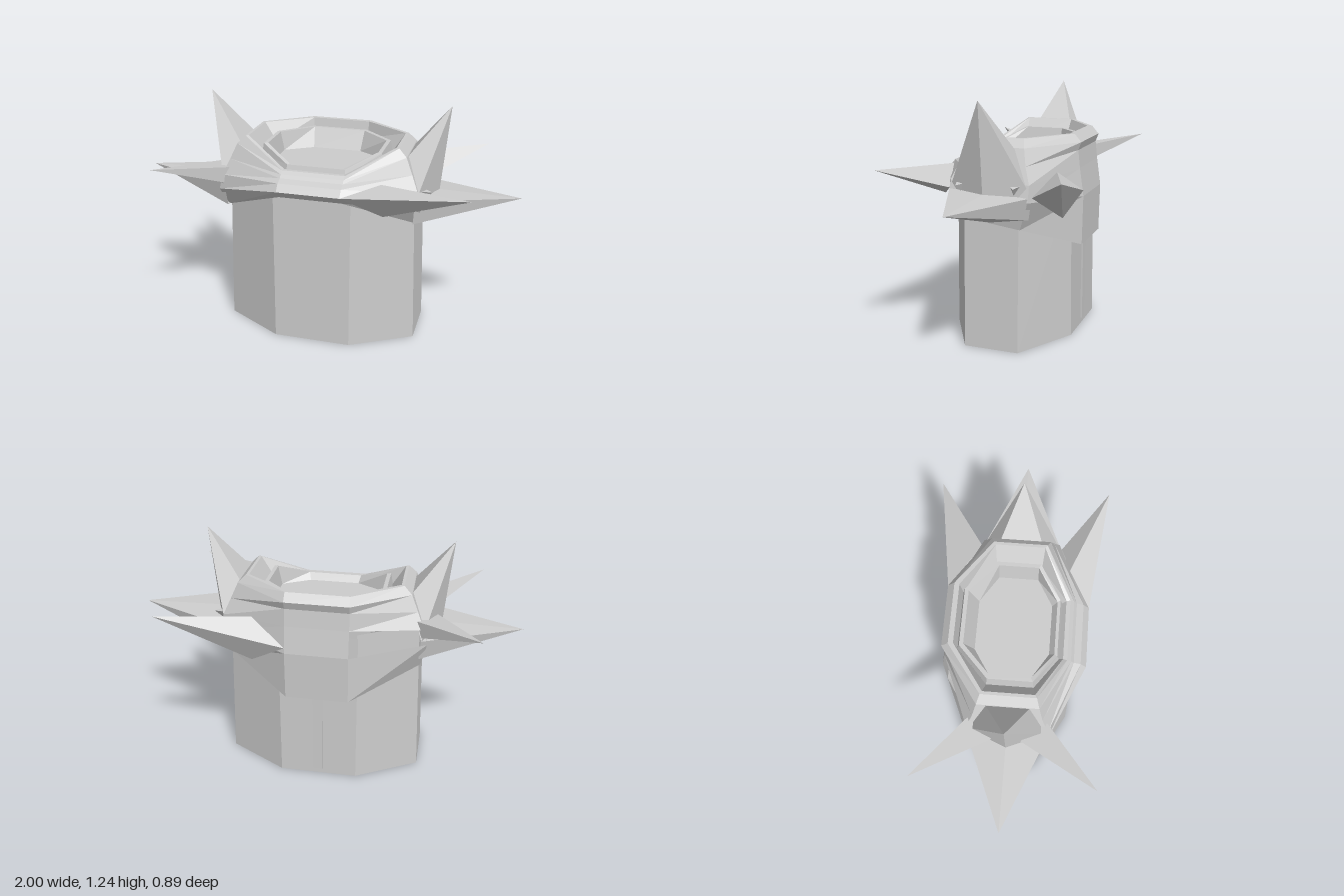
import * as THREE from 'three';

const grey = new THREE.MeshStandardMaterial({ color: 0xcccccc, flatShading: true, side: THREE.DoubleSide });
grey.name = 'plain grey';

function meshFrom(name, triangles) {
  const geometry = new THREE.BufferGeometry();
  geometry.setAttribute('position', new THREE.Float32BufferAttribute(triangles.flat(2), 3));
  geometry.computeVertexNormals();
  const mesh = new THREE.Mesh(geometry, grey);
  mesh.name = name;
  return mesh;
}

// Octagonal ring: half width of front edge, side x, side z, front z, back z,
// then heights at front, front side, back side and back
function ring([hx, sx, sz, zf, zb, yf, ysf, ysb, yb]) {
  const half = [[hx, yf, zf], [sx, ysf, sz], [sx, ysb, -sz], [hx, yb, zb]];
  return [...half, ...half.map(([x, y, z]) => [-x, y, z]).reverse()];
}

// Joins rings listed from bottom to top along the outside
function skin(name, specs, { cap = false, skip = () => false } = {}) {
  const rings = specs.map(ring);
  const triangles = [];
  for (let r = 0; r < rings.length - 1; r++) {
    for (let i = 0; i < 8; i++) {
      if (skip(r, i)) continue;
      const j = (i + 1) % 8;
      const a = rings[r][i], b = rings[r][j], c = rings[r + 1][j], d = rings[r + 1][i];
      triangles.push([a, b, c], [a, c, d]);
    }
  }
  if (cap) {
    const last = rings[rings.length - 1];
    for (let i = 1; i < 7; i++) triangles.push([last[0], last[i], last[i + 1]]);
  }
  return meshFrom(name, triangles);
}

// Pyramid with any base loop, turned so its faces point outward
function spike(name, tip, base) {
  const centre = [0, 1, 2].map(k => base.reduce((s, p) => s + p[k], 0) / base.length);
  const v = p => new THREE.Vector3(...p);
  const triangles = base.map((p, i) => {
    const q = base[(i + 1) % base.length];
    const normal = v(q).sub(v(p)).cross(v(tip).sub(v(p)));
    const outward = v(p).add(v(q)).multiplyScalar(0.5).sub(v(centre));
    return normal.dot(outward) < 0 ? [q, p, tip] : [p, q, tip];
  });
  return meshFrom(name, triangles);
}

export function createModel() {
  const model = new THREE.Group();
  model.name = 'spikedCollarTube';

  // Tapered hollow tube with a thick bottom edge
  model.add(skin('body', [
    [0.19, 0.45, 0.12, 0.275, -0.275, 0.82, 0.82, 0.82, 0.82],
    [0.19, 0.465, 0.12, 0.275, -0.275, 0, 0, 0, 0],
    [0.2, 0.51, 0.14, 0.317, -0.317, 0, 0, 0, 0],
    [0.2, 0.485, 0.14, 0.305, -0.31, 0.82, 0.82, 0.82, 0.82],
  ]));

  // Back seam strip
  const seam = new THREE.Mesh(new THREE.BoxGeometry(0.05, 0.49, 0.009), grey);
  seam.name = 'backSeam';
  seam.position.set(0, 0.275, -0.32);
  model.add(seam);

  // Draped collar: low hem at the back, raised rim dipping at the front
  model.add(skin('collar', [
    [0.18, 0.485, 0.14, 0.305, -0.31, 0.81, 0.66, 0.63, 0.5],
    [0.16, 0.5, 0.15, 0.33, -0.355, 0.8, 0.66, 0.62, 0.48],
    [0.16, 0.53, 0.2, 0.37, -0.36, 0.84, 0.76, 0.76, 0.73],
    [0.16, 0.51, 0.2, 0.34, -0.34, 0.875, 0.84, 0.84, 0.87],
    [0.16, 0.475, 0.17, 0.305, -0.33, 0.89, 0.92, 0.92, 0.96],
    [0.16, 0.44, 0.15, 0.29, -0.345, 0.905, 1.0, 1.0, 1.0],
    [0.16, 0.4, 0.135, 0.27, -0.31, 0.92, 1.04, 1.04, 1.04],
    [0.155, 0.385, 0.125, 0.25, -0.285, 0.92, 1.04, 1.04, 1.04],
    [0.15, 0.32, 0.115, 0.23, -0.27, 0.9, 0.94, 0.94, 0.95],
  ], { skip: (r, i) => r === 2 && i === 4 })); // open gap at the back

  // Inner neck ring and the floor it surrounds
  model.add(skin('neckRing', [
    [0.15, 0.32, 0.115, 0.23, -0.27, 0.9, 0.94, 0.94, 0.95],
    [0.15, 0.31, 0.11, 0.22, -0.26, 0.935, 1.0, 1.0, 1.0],
    [0.14, 0.29, 0.1, 0.205, -0.24, 0.935, 1.0, 1.0, 1.0],
    [0.13, 0.27, 0.1, 0.18, -0.19, 0.9, 0.9, 0.9, 0.9],
  ], { cap: true }));

  // Side spikes, mirrored
  for (const s of [1, -1]) {
    const side = s > 0 ? 'left' : 'right';
    const m = points => points.map(([x, y, z]) => [s * x, y, z]);
    model.add(spike(side + 'SideSpike', [s, 0.79, 0], m([
      [0.5, 0.8, 0.21], [0.49, 0.67, 0.19], [0.5, 0.645, 0], [0.49, 0.67, -0.19], [0.5, 0.78, -0.21], [0.55, 0.8, 0],
    ])));
    model.add(spike(side + 'TallSpike', [s * 0.63, 1.235, 0], m([
      [0.59, 0.79, 0], [0.5, 0.79, 0.21], [0.43, 0.98, 0.11], [0.43, 0.98, -0.11], [0.5, 0.78, -0.21],
    ])));
    // Small studs at the foot of the tall spike
    for (const z of [0.13, -0.13]) {
      model.add(spike(side + 'Stud', [s * 0.575, 0.83, z * 1.1], m([
        [0.5, 0.84, z - 0.04], [0.5, 0.84, z + 0.04], [0.52, 0.78, z],
      ])));
    }
  }

  // Broad diagonal spikes on one side
  model.add(spike('frontBroadSpike', [0.79, 0.92, 0.445], [
    [0.16, 0.84, 0.37], [0.34, 0.89, 0.26], [0.5, 0.8, 0.21], [0.36, 0.74, 0.3],
  ]));
  model.add(spike('backBroadSpike', [0.79, 0.92, -0.445], [
    [0.16, 0.76, -0.36], [0.34, 0.88, -0.28], [0.5, 0.78, -0.21], [0.34, 0.655, -0.31],
  ]));

  // Slender diagonal spikes on the other side
  for (const z of [1, -1]) {
    model.add(spike(z > 0 ? 'frontSlenderSpike' : 'backSlenderSpike', [-0.79, 0.92, 0.445 * z], [
      [-0.47, 0.88, 0.19 * z], [-0.57, 0.87, 0.07 * z], [-0.5, 0.8, 0.21 * z],
    ]));
  }
  return model;
}
